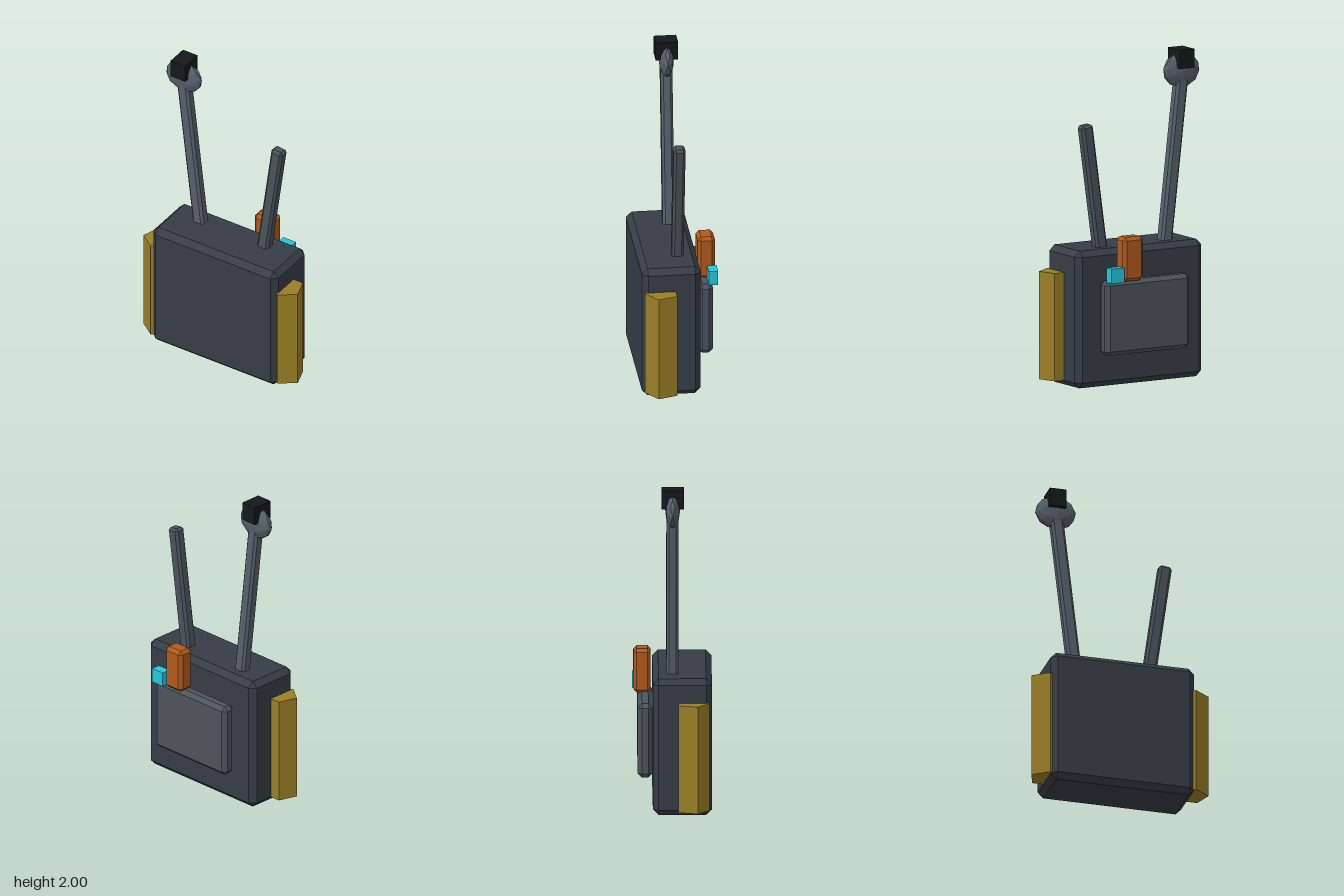
import * as THREE from 'three';
import { ConvexGeometry } from 'three/addons/geometries/ConvexGeometry.js';

// Box with flat chamfers on every edge
function chamferBox(w, h, d, b) {
  const half = [w / 2, h / 2, d / 2], points = [];
  for (const sx of [-1, 1]) for (const sy of [-1, 1]) for (const sz of [-1, 1])
    for (let axis = 0; axis < 3; axis++) {
      const [x, y, z] = half.map((v, i) => (i === axis ? v : v - b));
      points.push(new THREE.Vector3(sx * x, sy * y, sz * z));
    }
  return new ConvexGeometry(points);
}

export function createModel() {
  const model = new THREE.Group();
  model.name = 'antennaBackpack';

  function add(name, geometry, color, x, y, z) {
    const material = new THREE.MeshStandardMaterial({ color, flatShading: true });
    const mesh = new THREE.Mesh(geometry, material);
    mesh.name = name;
    mesh.position.set(x, y, z);
    model.add(mesh);
    return mesh;
  }

  // Leaning rod between two points in the x-y plane
  function addRod(name, color, x0, y0, x1, y1) {
    const dx = x1 - x0, dy = y1 - y0;
    const geometry = chamferBox(0.08, Math.hypot(dx, dy), 0.072, 0.015);
    const rod = add(name, geometry, color, (x0 + x1) / 2, (y0 + y1) / 2, 0);
    rod.rotation.z = -Math.atan2(dx, dy);
  }

  // Main case and rear panel
  add('case', chamferBox(0.9, 0.84, 0.357, 0.035), 0x363d46, 0, 0.42, 0.059);
  add('rearPanel', chamferBox(0.6, 0.455, 0.09, 0.025), 0x4b545c, 0, 0.428, -0.165);

  // Five-sided side canisters
  for (const [name, side] of [['leftCanister', 1], ['rightCanister', -1]])
    add(name, new THREE.CylinderGeometry(0.104, 0.104, 0.66, 5), 0x9a7f25, side * 0.457, 0.365, 0.119);

  // Rear handle block and indicator light
  add('handleBlock', chamferBox(0.14, 0.27, 0.105, 0.02), 0xb05a1c, 0.12, 0.785, -0.182);
  add('indicatorLight', new THREE.BoxGeometry(0.09, 0.09, 0.057), 0x22c8dd, 0.24, 0.695, -0.213);

  // Two antennas
  addRod('tallAntenna', 0x56616a, -0.235, 0.76, -0.362, 1.85);
  addRod('shortAntenna', 0x4a525a, 0.209, 0.76, 0.324, 1.592);

  // Faceted dish with sensor cube at the tall antenna tip
  const dish = new THREE.IcosahedronGeometry(1, 1);
  dish.rotateZ(0.14);
  dish.scale(0.129, 0.107, 0.045);
  add('antennaDish', dish, 0x56616a, -0.362, 1.868, 0);
  add('sensorCube', new THREE.BoxGeometry(0.105, 0.115, 0.136), 0x15181b, -0.363, 1.9425, 0);

  return model;
}
